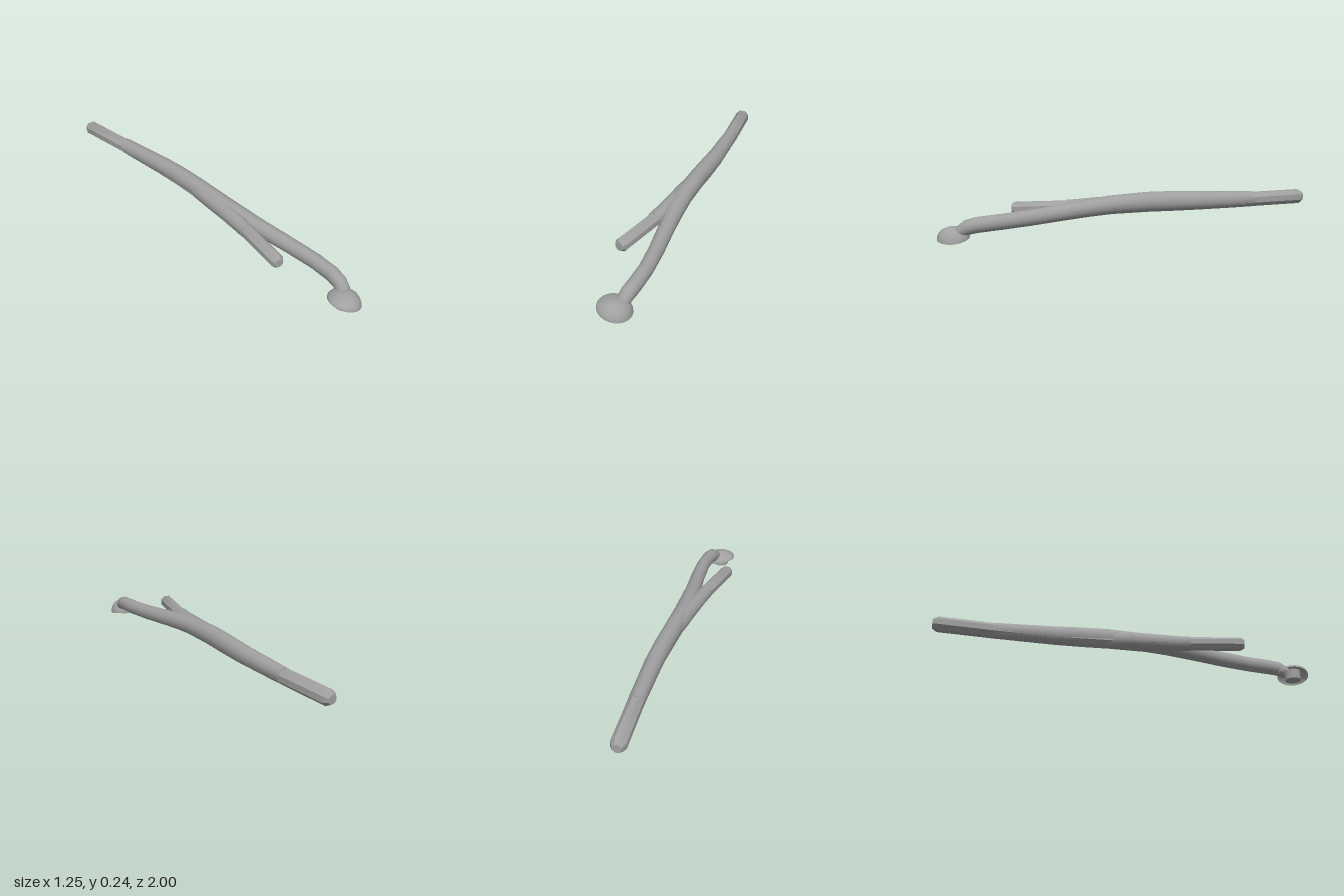
import * as THREE from 'three';
import { toCreasedNormals } from 'three/addons/utils/BufferGeometryUtils.js';

// Closed limb lofted through rows of [x, y, z, half width, half height]
function loft(rows, sides, crease) {
  const centres = rows.map(r => new THREE.Vector3(r[0], r[1], r[2]));
  const pos = [], index = [], n = rows.length;
  rows.forEach((r, i) => {
    const t = centres[Math.min(i + 1, n - 1)].clone().sub(centres[Math.max(i - 1, 0)]).normalize();
    const side = new THREE.Vector3(0, 1, 0).cross(t).normalize();
    const up = t.clone().cross(side);
    for (let j = 0; j < sides; j++) {
      const a = (j + 0.5) / sides * Math.PI * 2;
      const p = centres[i].clone()
        .addScaledVector(side, Math.cos(a) * r[3])
        .addScaledVector(up, Math.sin(a) * r[4]);
      pos.push(p.x, p.y, p.z);
    }
  });
  for (let i = 0; i < n - 1; i++) {
    for (let j = 0; j < sides; j++) {
      const a = i * sides + j, b = i * sides + (j + 1) % sides;
      index.push(a, b, a + sides, b, b + sides, a + sides);
    }
  }
  const last = (n - 1) * sides;
  for (let j = 1; j < sides - 1; j++) {
    index.push(0, j + 1, j, last, last + j, last + j + 1);
  }
  const g = new THREE.BufferGeometry();
  g.setAttribute('position', new THREE.Float32BufferAttribute(pos, 3));
  g.setIndex(index);
  return toCreasedNormals(g, crease);
}

// Thin dome whose rim dips towards +x
function domeGeometry(radius, top) {
  const g = new THREE.SphereGeometry(1, 32, 10, 0, Math.PI * 2, 0, Math.PI / 2);
  const p = g.attributes.position;
  for (let i = 0; i < p.count; i++) {
    const x = p.getX(i), y = p.getY(i), z = p.getZ(i);
    const rim = 0.029 - 0.024 * x + 0.004 * z;
    p.setXYZ(i, x * radius, rim + (top - rim) * y, z * radius);
  }
  g.computeVertexNormals();
  return g;
}

export function createModel() {
  const group = new THREE.Group();
  const grey = new THREE.MeshStandardMaterial({ color: 0xa0a0a0, side: THREE.DoubleSide });
  grey.name = 'grey';
  const add = (name, geometry) => {
    const mesh = new THREE.Mesh(geometry, grey);
    mesh.name = name;
    group.add(mesh);
    return mesh;
  };

  // Faceted bar: rear end, hidden middle and the short front prong
  add('bar', loft([
    [-0.598, 0.165, -0.988, 0.028, 0.028],
    [-0.583, 0.165, -0.964, 0.046, 0.046],
    [-0.39, 0.165, -0.68, 0.046, 0.046],
    [-0.2, 0.165, -0.38, 0.045, 0.045],
    [-0.03, 0.165, -0.05, 0.043, 0.043],
    [0.135, 0.16, 0.34, 0.041, 0.041],
    [0.232, 0.155, 0.645, 0.041, 0.041],
    [0.238, 0.155, 0.667, 0.028, 0.028],
  ], 8, 0.6));

  // Swelling body that narrows and drops towards the foot
  add('body', loft([
    [-0.395, 0.167, -0.69, 0.045, 0.048],
    [-0.31, 0.17, -0.555, 0.048, 0.052],
    [-0.205, 0.175, -0.39, 0.051, 0.057],
    [-0.12, 0.179, -0.24, 0.053, 0.061],
    [-0.045, 0.18, -0.1, 0.054, 0.061],
    [0.065, 0.172, 0.1, 0.059, 0.056],
    [0.145, 0.161, 0.22, 0.056, 0.053],
    [0.235, 0.146, 0.34, 0.047, 0.049],
    [0.36, 0.127, 0.51, 0.044, 0.047],
    [0.455, 0.114, 0.65, 0.042, 0.046],
    [0.515, 0.103, 0.765, 0.042, 0.046],
    [0.535, 0.09, 0.82, 0.042, 0.044],
    [0.544, 0.068, 0.855, 0.04, 0.036],
    [0.546, 0.05, 0.866, 0.034, 0.03],
  ], 12, 0.75));

  // Sleeve joining the prong to the body
  add('sleeve', loft([
    [-0.08, 0.172, -0.16, 0.042, 0.05],
    [0.0, 0.172, 0.02, 0.048, 0.052],
    [0.07, 0.167, 0.17, 0.05, 0.05],
    [0.118, 0.162, 0.29, 0.047, 0.046],
    [0.14, 0.16, 0.36, 0.042, 0.043],
  ], 12, 0.75));

  // Foot: flared dome over a round peg
  add('footDome', domeGeometry(0.094, 0.091)).position.set(0.535, 0, 0.905);
  add('footPeg', new THREE.CylinderGeometry(0.048, 0.048, 0.06, 24)).position.set(0.532, 0.03, 0.905);

  return group;
}
